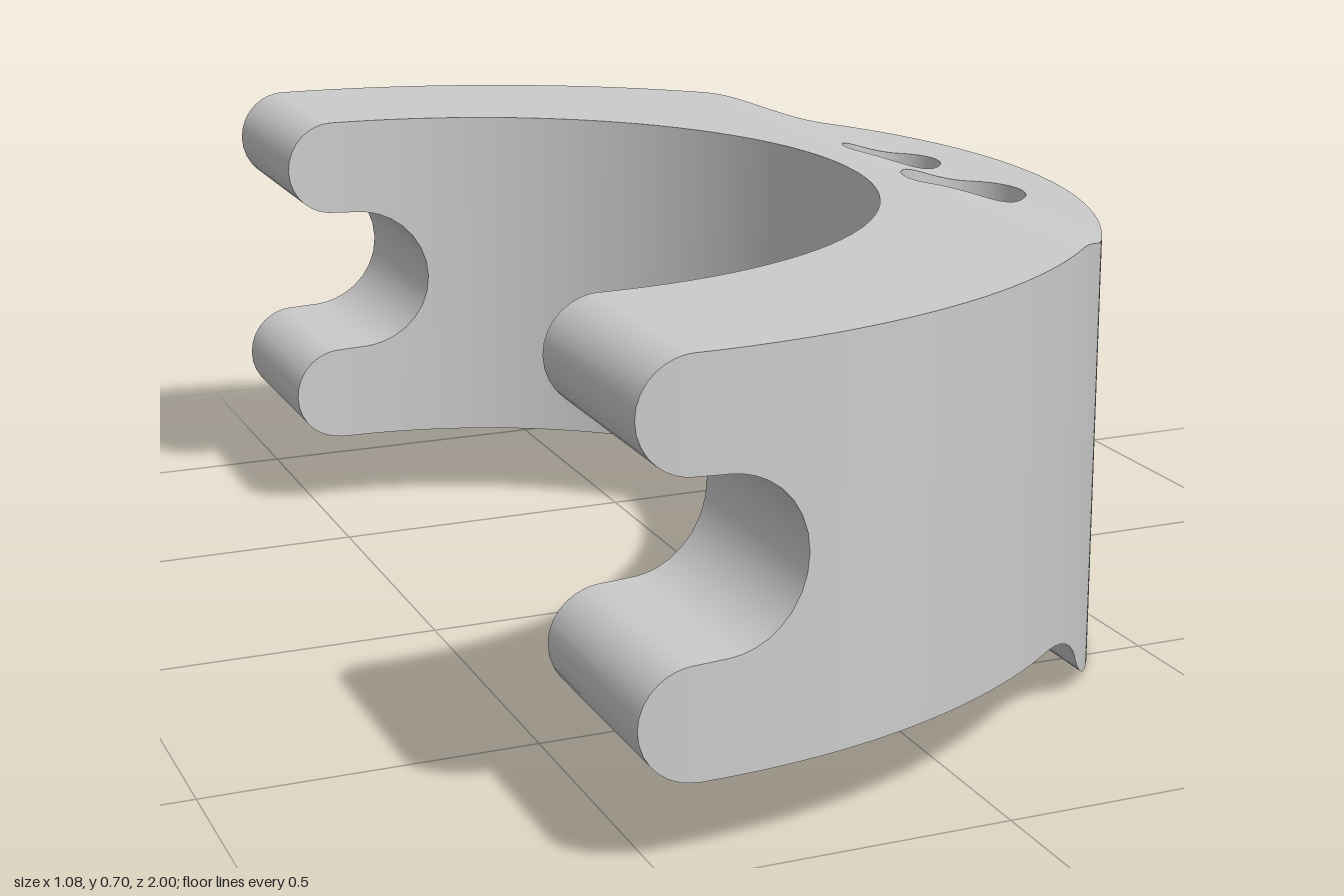
import * as THREE from 'three';
import { toCreasedNormals } from 'three/addons/utils/BufferGeometryUtils.js';

// Half chord of a circle (centre c, radius r) at x
const half = (x, c, r) => Math.sqrt(Math.max(0, r * r - (x - c) ** 2));

const CX = -0.46;                 // centre of the half ring
const R_OUT = 1, R_IN = 0.665;
const PRONG = 0.08;               // radius of the rounded prong tips
const MID = 0.42;                 // height of the notch axis
const LOBE = { x: 0.407, r: 0.133 };
const FILLET = { x: 0.177, r: 0.133 };
const NOTCH = { x: -0.42, r: 0.123 };

// Voids in plan: the bore and the two through holes, as circles (x, z, r)
const voids = [
  { x: 0.36, z: -0.12, r: 0.083 },
  { x: CX, z: 0, r: R_IN },
  { x: 0.355, z: 0.15, r: 0.1 },
];

// Side profile: heights depend on x only
function topY(x) {
  if (x < CX) return 0.625 + half(x, CX, PRONG);
  return 0.705 - 0.034 * THREE.MathUtils.smoothstep(x, 0.26, 0.41);
}
function bottomY(x) {
  if (x < CX) return 0.215 - half(x, CX, PRONG);
  if (x < FILLET.x) return 0.134;
  const join = (FILLET.x + LOBE.x) / 2;
  if (x < join) return 0.001 + half(x, FILLET.x, FILLET.r);
  return LOBE.r - half(x, LOBE.x, LOBE.r);
}
function notchHalf(x) {
  if (x < CX) return 0.205 - half(x, CX, PRONG);
  return x < NOTCH.x ? 0.125 + (x - CX) * -0.05 : half(x, NOTCH.x, NOTCH.r);
}

// Solid spans at x; the number of spans is decided at the strip's middle m
function ySpans(x, m) {
  if (m > NOTCH.x + NOTCH.r) return [[bottomY(x), topY(x)]];
  const h = notchHalf(x);
  return [[bottomY(x), MID - h], [MID + h, topY(x)]];
}
function zSpans(x, m) {
  const edges = [-half(x, CX, R_OUT)];
  for (const v of voids) {
    if (Math.abs(m - v.x) >= v.r) continue;
    const h = half(x, v.x, v.r);
    edges.push(v.z - h, v.z + h);
  }
  edges.push(half(x, CX, R_OUT));
  const spans = [];
  for (let i = 0; i < edges.length; i += 2) spans.push([edges[i], edges[i + 1]]);
  return spans;
}

// Slice positions, denser towards every place where a curve starts or ends
function slices() {
  const keys = [CX - PRONG, CX, NOTCH.x, NOTCH.x + NOTCH.r, FILLET.x, CX + R_IN, 0.26,
    0.277, (FILLET.x + LOBE.x) / 2, 0.36, LOBE.x, 0.443, 0.455, CX + R_OUT];
  const xs = [keys[0]];
  for (let i = 1; i < keys.length; i++) {
    const a = keys[i - 1], b = keys[i];
    const n = b - a > 0.2 ? 24 : 10;
    for (let k = 1; k <= n; k++) xs.push(a + (b - a) * (1 - Math.cos(Math.PI * k / n)) / 2);
  }
  return xs;
}

function halfRingGeometry() {
  const pos = [];
  const area = new THREE.Triangle();
  const tri = (a, b, c) => {
    area.a.set(...a); area.b.set(...b); area.c.set(...c);
    if (area.getArea() > 1e-10) pos.push(...a, ...b, ...c);
  };
  const quad = (a, b, c, d) => { tri(a, b, c); tri(a, c, d); };

  const xs = slices();
  for (let i = 1; i < xs.length; i++) {
    const p = xs[i - 1], q = xs[i], m = (p + q) / 2;
    const yp = ySpans(p, m), yq = ySpans(q, m);
    const zp = zSpans(p, m), zq = zSpans(q, m);
    for (let j = 0; j < yp.length; j++) {
      for (let k = 0; k < zp.length; k++) {
        const [b0, t0] = yp[j], [b1, t1] = yq[j];
        const [n0, f0] = zp[k], [n1, f1] = zq[k];
        quad([p, t0, n0], [p, t0, f0], [q, t1, f1], [q, t1, n1]); // top
        quad([p, b0, n0], [q, b1, n1], [q, b1, f1], [p, b0, f0]); // underside
        quad([p, b0, f0], [q, b1, f1], [q, t1, f1], [p, t0, f0]); // +z wall
        quad([p, b0, n0], [p, t0, n0], [q, t1, n1], [q, b1, n1]); // -z wall
      }
    }
  }
  const geometry = new THREE.BufferGeometry();
  geometry.setAttribute('position', new THREE.Float32BufferAttribute(pos, 3));
  return toCreasedNormals(geometry, 0.6);
}

export function createModel() {
  const group = new THREE.Group();
  group.name = 'halfRingBracket';
  const body = new THREE.Mesh(
    halfRingGeometry(),
    new THREE.MeshStandardMaterial({ color: 0xcccccc })
  );
  body.name = 'notchedHalfRing';
  group.add(body);
  return group;
}
